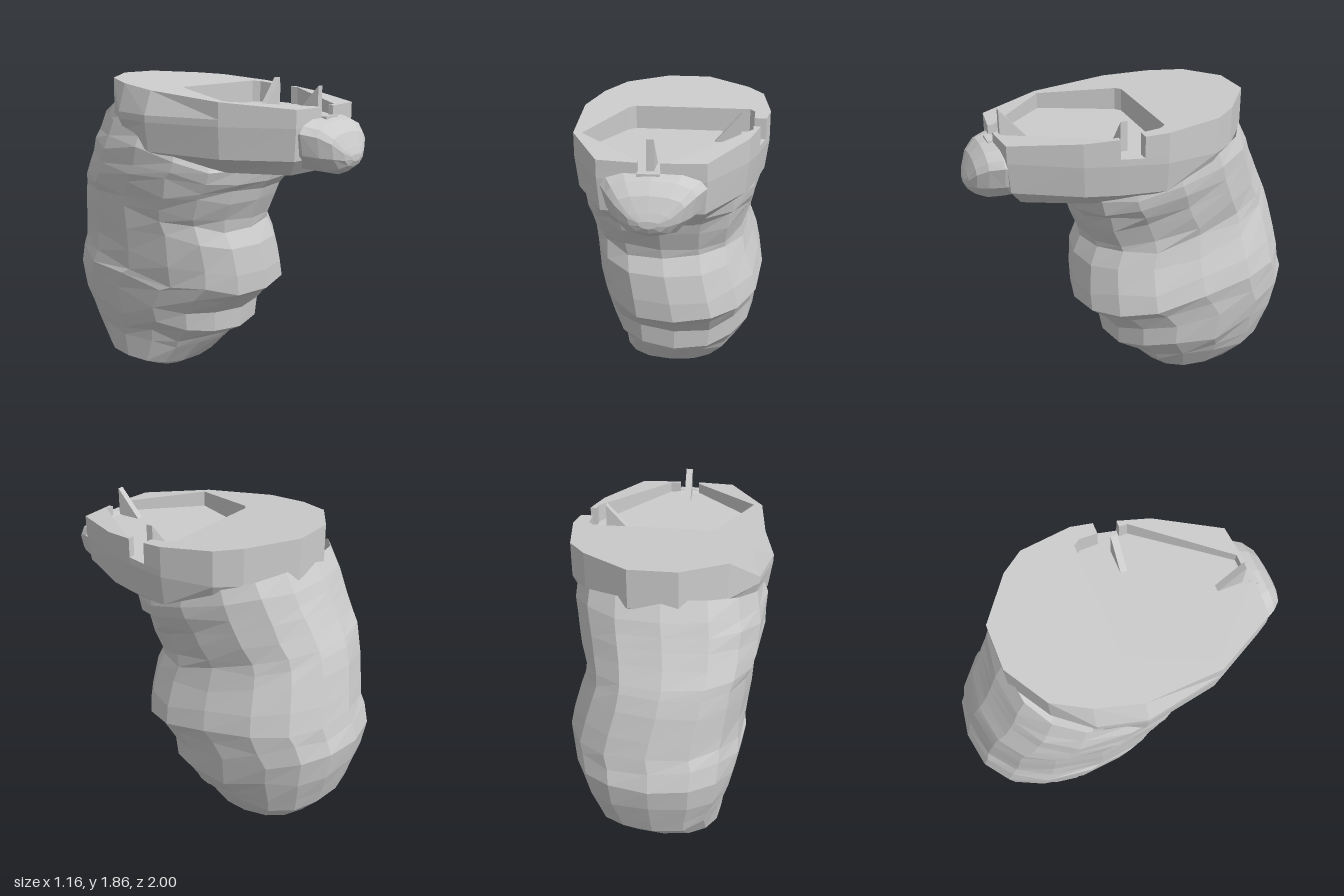
import * as THREE from 'three';

const material = new THREE.MeshStandardMaterial({ color: 0xcccccc, flatShading: true, side: THREE.DoubleSide });
const FLOOR = 1.67; // height of the basin floor
const rimY = (z) => 1.803 - 0.09 * z; // sloping top of the rim
const flare = (x, z) => (x < -0.4 && z < 0.3 ? x - 0.055 : x);
const soften = (v, power) => Math.sign(v) * Math.abs(v) ** power;

function seeded(seed) {
  let s = seed;
  return () => {
    s = (s * 16807) % 2147483647;
    return (s / 2147483647) * 2 - 1;
  };
}

function mesh(geometry, name) {
  const m = new THREE.Mesh(geometry, material);
  m.name = name;
  return m;
}

// Skin a list of closed rings of [x, y, z]; the listed rings (first or last) get a cap.
function loft(rings, capped) {
  const n = rings[0].length;
  const positions = rings.flat(2);
  const index = [];
  for (let i = 0; i < rings.length - 1; i++) {
    for (let j = 0; j < n; j++) {
      const k = (j + 1) % n;
      const a = i * n + j, b = i * n + k, c = a + n, d = b + n;
      index.push(a, b, d, a, d, c);
    }
  }
  capped.forEach((r) => {
    const centre = positions.length / 3;
    for (let c = 0; c < 3; c++) positions.push(rings[r].reduce((sum, p) => sum + p[c], 0) / n);
    for (let j = 0; j < n; j++) {
      const a = r * n + j, b = r * n + ((j + 1) % n);
      if (r === 0) index.push(centre, b, a);
      else index.push(centre, a, b);
    }
  });
  const g = new THREE.BufferGeometry();
  g.setAttribute('position', new THREE.Float32BufferAttribute(positions, 3));
  g.setIndex(index);
  const flat = g.toNonIndexed();
  flat.computeVertexNormals();
  return flat;
}

// Leaning, wrinkled trunk, open inside the head: front z, front y, back z, back y, right x, left x.
function bodyGeometry() {
  const rows = [
    [-0.18, 0.0, -0.5, 0.02, -0.25, 0.14],
    [-0.1, 0.04, -0.74, 0.08, -0.36, 0.32],
    [0.03, 0.18, -0.89, 0.25, -0.37, 0.42],
    [0.06, 0.22, -0.92, 0.34, -0.39, 0.45],
    [0.19, 0.29, -0.97, 0.5, -0.44, 0.51],
    [0.2, 0.42, -1.0, 0.65, -0.46, 0.53],
    [0.29, 0.51, -0.97, 0.76, -0.48, 0.55],
    [0.38, 0.58, -0.95, 0.85, -0.47, 0.57],
    [0.38, 0.7, -0.93, 0.95, -0.48, 0.54],
    [0.36, 0.87, -0.9, 1.1, -0.5, 0.49],
    [0.31, 0.97, -0.87, 1.2, -0.51, 0.47],
    [0.32, 1.03, -0.85, 1.25, -0.53, 0.47],
    [0.37, 1.15, -0.8, 1.35, -0.555, 0.49],
    [0.39, 1.22, -0.76, 1.44, -0.56, 0.51],
    [0.43, 1.27, -0.73, 1.51, -0.565, 0.53],
    [0.45, 1.34, -0.7, 1.58, -0.56, 0.54],
    [0.4, 1.4, -0.64, 1.69, -0.54, 0.53],
  ];
  const rnd = seeded(41);
  const sides = 16;
  return loft(rows.map(([zf, yf, zb, yb, xr, xl], r) =>
    Array.from({ length: sides }, (_, j) => {
      const a = (j / sides) * Math.PI * 2;
      const power = Math.cos(a) < 0 ? 0.82 : 0.85;
      const s = soften(Math.sin(a), power), t = (soften(Math.cos(a), power) + 1) / 2;
      const side = r > 1 && r < rows.length - 1 ? Math.abs(Math.sin(a)) : 0;
      const wrinkle = 1 + rnd() * 0.02 * side;
      return [
        (xl + xr) / 2 + ((xl - xr) / 2) * s * wrinkle,
        THREE.MathUtils.lerp(yb, yf, t) + rnd() * 0.035 * side,
        THREE.MathUtils.lerp(zb, zf, t),
      ];
    })), [0]);
}

// Outer wall of the head below the floor level; its back edge meets the trunk.
function headGeometry() {
  const outline = [
    [0, 0.82], [0.28, 0.8], [0.48, 0.43], [0.53, 0.24], [0.58, -0.02], [0.53, -0.33], [0.43, -0.46],
    [0.17, -0.65], [-0.1, -0.65], [-0.35, -0.5], [-0.46, -0.3], [-0.53, -0.03], [-0.5, 0.43], [-0.3, 0.8],
  ];
  const back = (z) => THREE.MathUtils.clamp(-z / 0.4, 0, 1);
  const lip = ([x, z]) => [flare(x, z) * 0.96, 1.45 + 0.15 * back(z), z * (0.98 - 0.03 * back(z))];
  return loft([
    outline.map(([x, z]) => (z < 0 ? lip([x, z]) : [x * 0.74, 1.36, z * 0.9])),
    outline.map(lip),
    outline.map(([x, z]) => [flare(x, z), FLOOR - 0.04, z]),
    outline.map(([x, z]) => [flare(x, z), FLOOR, z]),
  ], []);
}

// Horizontal plate from a plan outline of [x, z], facing up.
function plateGeometry(points, y) {
  const shape = new THREE.Shape(points.map(([x, z]) => new THREE.Vector2(x, -z)));
  return new THREE.ShapeGeometry(shape).rotateX(-Math.PI / 2).translate(0, y, 0);
}

// Vertical wall over a plan outline, open below, with its top cut to the rim slope.
function rimGeometry(points) {
  const shape = new THREE.Shape(points.map(([x, z]) => new THREE.Vector2(x, -z)));
  const p = new THREE.ExtrudeGeometry(shape, { depth: 1, bevelEnabled: false })
    .rotateX(-Math.PI / 2).attributes.position;
  const positions = [];
  for (let i = 0; i < p.count; i += 3) {
    const corners = [i, i + 1, i + 2].map((k) => [p.getX(k), p.getY(k), p.getZ(k)]);
    if (corners.every(([, y]) => y < 0.5)) continue;
    corners.forEach(([x, y, z]) => positions.push(...(y > 0.5 ? [x, rimY(z), z] : [flare(x, z), FLOOR, z])));
  }
  const g = new THREE.BufferGeometry();
  g.setAttribute('position', new THREE.Float32BufferAttribute(positions, 3));
  g.computeVertexNormals();
  return g;
}

// Snout with a broad sloping top and a U-shaped chin: each row is z, half width, bottom y, top y.
function snoutGeometry() {
  const rows = [
    [0.7, 0.28, 1.365, 1.66], [0.81, 0.28, 1.36, 1.68], [0.89, 0.235, 1.355, 1.66],
    [0.95, 0.18, 1.38, 1.6], [0.985, 0.11, 1.41, 1.52], [1.0, 0.05, 1.44, 1.48],
  ];
  return loft(rows.map(([z, w, y0, y1]) => Array.from({ length: 12 }, (_, j) => {
    const a = (j / 12) * Math.PI * 2;
    const h = y1 - y0, s = Math.sin(a);
    return [w * soften(Math.cos(a), 0.85), y1 - 0.25 * h + s * h * (s > 0 ? 0.25 : 0.75), z];
  })), [rows.length - 1]);
}

// Thin upright triangle, sloping down from its tall edge at x = 0 towards -x.
function finGeometry() {
  const shape = new THREE.Shape([
    new THREE.Vector2(-0.15, FLOOR), new THREE.Vector2(0, FLOOR), new THREE.Vector2(0, 1.84),
  ]);
  return new THREE.ExtrudeGeometry(shape, { depth: 0.04, bevelEnabled: false }).translate(0, 0, -0.02);
}

export function createModel() {
  const group = new THREE.Group();
  group.name = 'figure';
  group.add(mesh(bodyGeometry(), 'body'));
  group.add(mesh(headGeometry(), 'head'));
  group.add(mesh(snoutGeometry(), 'snout'));

  // Underside of the jaw and floor of the basin with its two notches
  const jaw = [[0.39, 0.216], [0.355, 0.387], [0.207, 0.72], [0, 0.738], [-0.222, 0.72], [-0.37, 0.387], [-0.38, 0.216]];
  group.add(mesh(plateGeometry(jaw, 1.36), 'jawUnderside'));
  const basin = [
    [-0.08, 0.82], [0.04, 0.82], [0.04, 0.79], [0.1, 0.79], [0.49, 0.29], [0.49, 0.24], [0.53, 0.24], [0.56, 0.11],
    [0.49, 0.11], [0.49, 0], [0.46, -0.04], [-0.22, -0.04], [-0.26, -0.01], [-0.45, 0.43], [-0.08, 0.79],
  ];
  group.add(mesh(plateGeometry(basin, FLOOR), 'basinFloor'));

  // Rim in two pieces, leaving a notch at the front and one at the left side
  group.add(mesh(rimGeometry([
    [-0.08, 0.82], [-0.3, 0.8], [-0.5, 0.43], [-0.53, -0.03], [-0.46, -0.3], [-0.35, -0.5], [-0.1, -0.65],
    [0.17, -0.65], [0.43, -0.46], [0.53, -0.33], [0.58, -0.02], [0.56, 0.11], [0.49, 0.11], [0.49, 0],
    [0.46, -0.04], [-0.22, -0.04], [-0.26, -0.01], [-0.45, 0.43], [-0.08, 0.79],
  ]), 'backRim'));
  group.add(mesh(rimGeometry([
    [0.53, 0.24], [0.48, 0.43], [0.28, 0.8], [0.04, 0.82], [0.04, 0.79], [0.1, 0.79], [0.49, 0.29], [0.49, 0.24],
  ]), 'frontRim'));

  // Ledge under the front notch
  const ledge = mesh(new THREE.BoxGeometry(0.12, 0.04, 0.04), 'frontLedge');
  ledge.position.set(-0.02, FLOOR - 0.01, 0.83);
  group.add(ledge);

  // Small fins standing in the basin
  const sideFin = mesh(finGeometry(), 'sideFin');
  sideFin.position.set(0.42, 0, 0.18);
  const frontFin = mesh(finGeometry(), 'frontFin');
  frontFin.position.set(-0.02, 0, 0.77);
  frontFin.rotation.y = -Math.PI / 2;
  group.add(sideFin, frontFin);
  return group;
}
